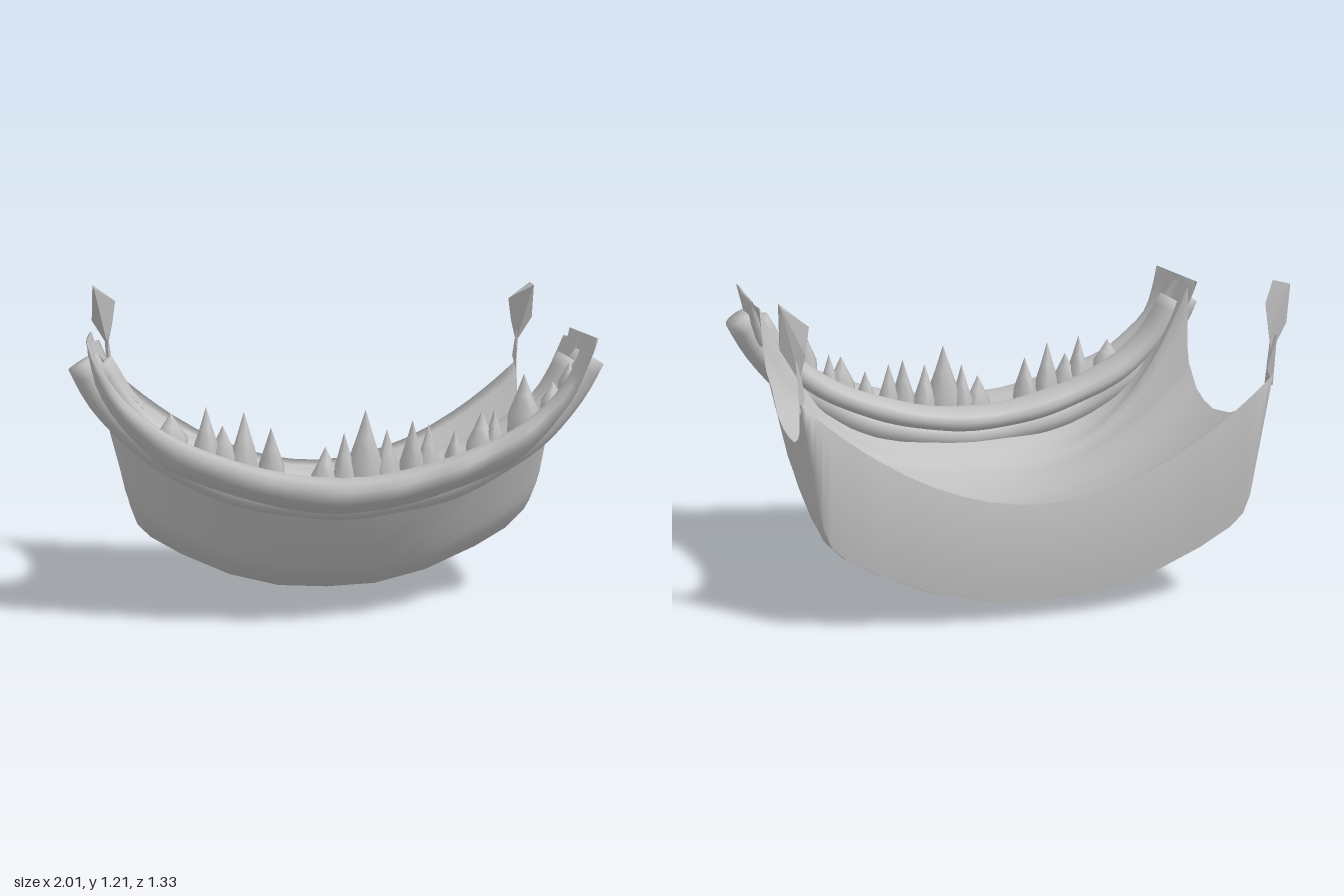
import * as THREE from 'three';
import { ConvexGeometry } from 'three/addons/geometries/ConvexGeometry.js';

const grey = new THREE.MeshStandardMaterial({ color: 0xc0c0c0, side: THREE.DoubleSide });
grey.name = 'grey';

// Skin a list of cross-sections, each a list of [x, y, z]
function loft(rows, closed = false) {
  const n = rows[0].length, index = [];
  const cols = closed ? n : n - 1;
  for (let i = 0; i < rows.length - 1; i++) {
    for (let j = 0; j < cols; j++) {
      const a = i * n + j, b = i * n + (j + 1) % n;
      index.push(a, a + n, b, b, a + n, b + n);
    }
  }
  const g = new THREE.BufferGeometry();
  g.setAttribute('position', new THREE.Float32BufferAttribute(rows.flat(2), 3));
  g.setIndex(index);
  g.computeVertexNormals();
  return g;
}

// Linear lookup in a list of [key, value]
function lookup(table, k) {
  if (k <= table[0][0]) return table[0][1];
  for (let i = 1; i < table.length; i++) {
    const [k0, v0] = table[i - 1], [k1, v1] = table[i];
    if (k <= k1) return v0 + (v1 - v0) * (k - k0) / (k1 - k0);
  }
  return table[table.length - 1][1];
}

// Sweep a section of [offset along the normal, z] along a mirrored U curve, with closed ends
function sweep(half, section) {
  const pts = [...half.slice(1).reverse().map(([x, y]) => [-x, y]), ...half];
  const curve = new THREE.SplineCurve(pts.map(([x, y]) => new THREE.Vector2(x, y)));
  const rows = [], N = 44;
  for (let i = 0; i <= N; i++) {
    const p = curve.getPointAt(i / N), t = curve.getTangentAt(i / N);
    rows.push(section(p.x, i).map(([o, z]) => [p.x - t.y * o, p.y + t.x * o, z]));
  }
  const centre = (ring) => {
    const c = [0, 1, 2].map((k) => ring.reduce((s, p) => s + p[k], 0) / ring.length);
    return ring.map(() => c);
  };
  return loft([centre(rows[0]), ...rows, centre(rows[N])], true);
}

// Oval tube section
function oval(rn, rz, z, taper) {
  return (x, i) => Array.from({ length: 12 }, (_, k) => {
    const a = k / 12 * Math.PI * 2;
    const s = (1 - taper * Math.abs(x) ** 6) * (1 + 0.03 * Math.sin(i * 0.9));
    return [Math.cos(a) * rn * s, z + Math.sin(a) * rz * s];
  });
}

// Shell profiles along z
const RIM = [[-0.67, 0.88], [-0.62, 0.83], [-0.54, 0.75], [-0.4, 0.67], [-0.2, 0.645], [-0.1, 0.655],
  [0, 0.685], [0.1, 0.77], [0.15, 0.83], [0.175, 0.95], [0.19, 1.07], [0.4, 1.08]];
const KEEL = [[-0.67, 0.08], [-0.5, 0.03], [-0.3, 0], [-0.1, 0.02], [0, 0.05], [0.1, 0.095],
  [0.2, 0.15], [0.25, 0.2], [0.3, 0.26], [0.35, 0.325], [0.4, 0.41]];
const FLOOR = [[-0.67, 0.45], [-0.6, 0.425], [-0.4, 0.355], [-0.25, 0.32], [-0.1, 0.305], [0.05, 0.32],
  [0.15, 0.355], [0.3, 0.46], [0.4, 0.52]];
const FLOOR_POWER = [[0, 2], [0.1, 2.3], [0.25, 3.8]];
const WIDTH = [[-0.67, 0.89], [-0.5, 0.865], [-0.2, 0.855], [0.1, 0.87], [0.15, 0.882], [0.2, 0.898], [0.4, 0.92]];
// Height of the outer skin above the keel, up to the knuckle of the side wall
const SIDE = [[0, 0], [0.23, 0.01], [0.46, 0.06], [0.69, 0.15], [0.83, 0.222], [0.885, 0.27], [0.915, 0.34]];
const HALF = [0, 0.115, 0.23, 0.345, 0.46, 0.575, 0.69, 0.76, 0.83, 0.885, 0.915, 0.935, 0.955, 0.978, 1];
const ACROSS = [...HALF.slice(1).reverse().map((u) => -u), ...HALF];
const STATIONS = [-0.67, -0.62, -0.54, -0.45, -0.35, -0.2, -0.1, 0, 0.06, 0.1, 0.15, 0.175, 0.19, 0.22, 0.26, 0.3, 0.35, 0.4];

function outerRow(z) {
  const b = lookup(KEEL, z), h = lookup(RIM, z) - b, w = lookup(WIDTH, z);
  const tuck = THREE.MathUtils.smoothstep(z, 0.1, 0.4);
  return ACROSS.map((u) => {
    const a = Math.abs(u);
    const wall = lookup([...SIDE, [1, h]], a);
    return [u * w, b + THREE.MathUtils.lerp(wall, h * a * a, tuck), z];
  });
}
function innerRow(z) {
  const b = lookup(FLOOR, z), r = lookup(RIM, z), w = lookup(WIDTH, z), power = lookup(FLOOR_POWER, z);
  return ACROSS.map((u) => [u * w * (0.985 + 0.015 * Math.abs(u)), b + (r - b) * Math.abs(u) ** power, z]);
}

export function createModel() {
  const model = new THREE.Group();
  model.name = 'toothedJaw';
  const add = (name, geometry, parent = model) => {
    const m = new THREE.Mesh(geometry, grey);
    m.name = name;
    parent.add(m);
    return m;
  };

  // Chin shell: outside skin, crescent across the back, and the hollow inside in one smooth surface
  add('shell', loft([...STATIONS.map(outerRow).reverse(), ...STATIONS.map(innerRow)]));

  // Front lip, a folded band curling forward
  add('frontLip', sweep(
    [[0, 0.58], [0.3, 0.62], [0.6, 0.73], [0.78, 0.86], [0.88, 1.0], [0.92, 1.1]],
    (x, i) => {
      const a = Math.abs(x);
      const front = lookup([[0, 0.665], [0.4, 0.625], [0.6, 0.585], [0.84, 0.56], [0.92, 0.63]], a)
        + 0.006 * Math.sin(i * 1.3) * (a < 0.8 ? 1 : 0);
      const thick = lookup([[0, 1], [0.6, 0.85], [0.85, 0.4], [0.92, 0.08]], a);
      const back = lookup([[0, 0.36], [0.8, 0.34], [0.92, 0.18]], a);
      return [[-0.02, back], [-0.03, 0.42], [0, 0.5], [0, front - 0.03], [-0.03, front],
        [-0.08, front - 0.02], [-0.12, 0.52], [-0.17, 0.42], [-0.13, back]].map(([o, z]) => [o * thick, z]);
    }));

  // Roll under the lip, reaching out to both sides
  add('outerRoll', sweep(
    [[0, 0.465], [0.4, 0.53], [0.68, 0.68], [0.85, 0.84], [0.95, 1.01]],
    oval(0.068, 0.1, 0.38, 0.15)));

  // Gum behind the teeth
  add('gum', sweep(
    [[0, 0.535], [0.3, 0.575], [0.6, 0.69], [0.78, 0.835], [0.88, 1.0]],
    oval(0.05, 0.095, 0.345, 0.3)));

  // Teeth: [x, tip height, radius]
  const teeth = new THREE.Group();
  teeth.name = 'teeth';
  model.add(teeth);
  const GUMLINE = [[0, 0.55], [0.3, 0.59], [0.6, 0.7], [0.78, 0.83], [0.9, 0.98]];
  [[-0.63, 0.82, 0.055], [-0.5, 0.84, 0.05], [-0.44, 0.77, 0.05], [-0.36, 0.82, 0.05], [-0.26, 0.76, 0.05],
    [-0.06, 0.69, 0.05], [0.01, 0.74, 0.05], [0.09, 0.825, 0.06], [0.17, 0.75, 0.05], [0.27, 0.78, 0.045],
    [0.33, 0.765, 0.04], [0.43, 0.74, 0.04], [0.53, 0.81, 0.05], [0.58, 0.82, 0.04], [0.69, 0.95, 0.055],
    [0.8, 0.92, 0.045], [0.86, 0.99, 0.04]].forEach(([x, tip, r], i) => {
    const base = lookup(GUMLINE, Math.abs(x)) - 0.04, h = tip - base;
    const profile = [[r * 1.2, 0], [r * 1.15, h * 0.35], [r * 0.6, h * 0.65], [0.001, h]]
      .map(([a, b]) => new THREE.Vector2(a, b));
    const tooth = add('tooth', new THREE.LatheGeometry(profile, 7), teeth);
    const inMiddle = x > -0.1 && x < 0.25;
    tooth.position.set(x, base, inMiddle ? 0.465 : 0.44);
    tooth.scale.z = 0.8;
    tooth.rotation.y = i * 1.3;
  });

  // Torn strap ends rising from the back corners
  for (const s of [1, -1]) {
    const side = s > 0 ? 'left' : 'right';
    const p = (x, y, z) => new THREE.Vector3(s * x, y, z);
    add(side + 'StrapEnd', new ConvexGeometry([
      p(0.945, 1.22, -0.67), p(0.935, 1.215, -0.54), p(0.85, 1.15, -0.665),
      p(0.95, 1.07, -0.64), p(0.865, 1.05, -0.67), p(0.885, 0.96, -0.655)]));
    add(side + 'StrapNeck', new ConvexGeometry([
      p(0.9, 1.03, -0.67), p(0.885, 1.03, -0.645), p(0.89, 0.84, -0.67), p(0.88, 0.84, -0.62), p(0.87, 0.9, -0.66)]));
  }
  return model;
}
